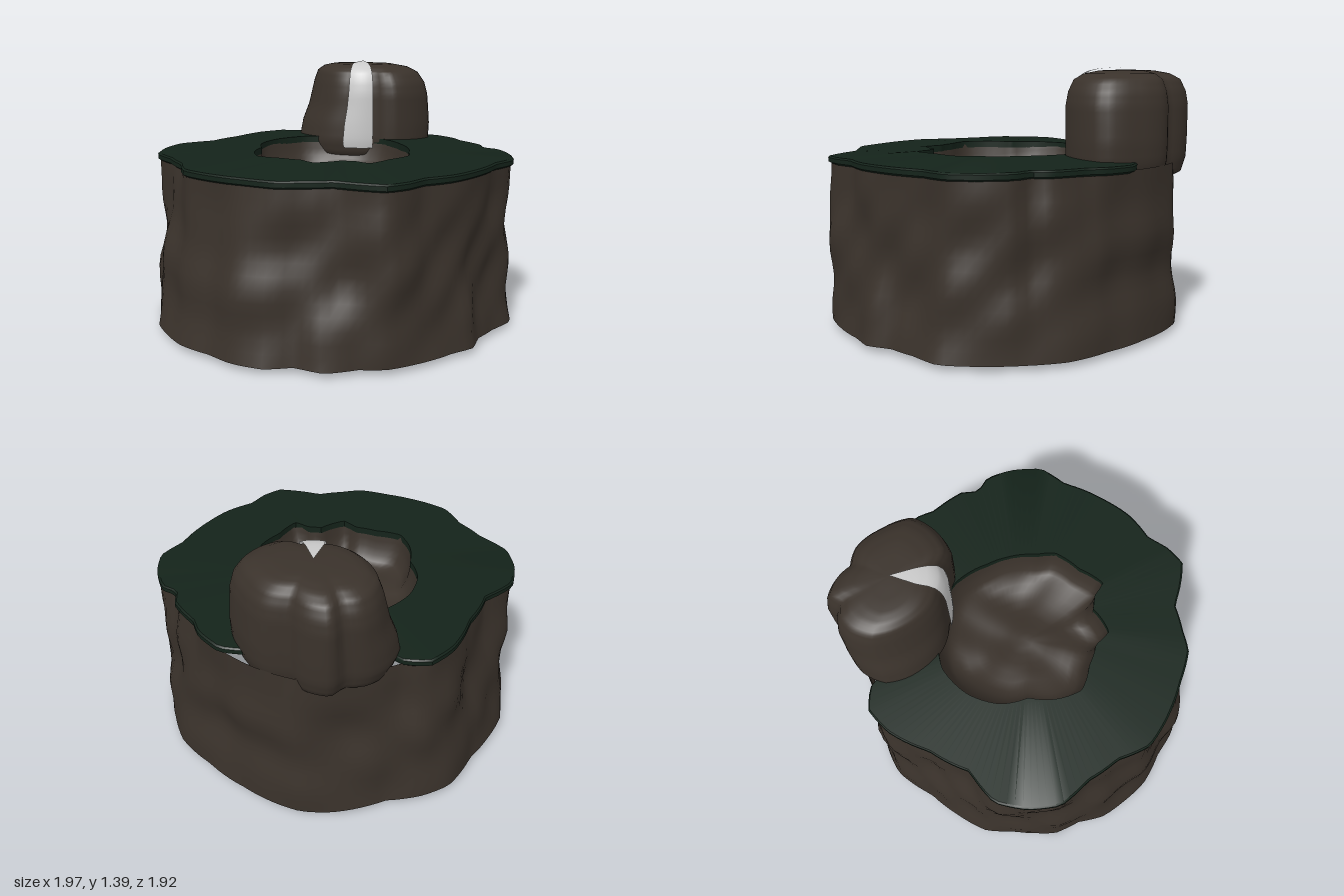
import * as THREE from 'three';
import { mergeVertices, toCreasedNormals } from 'three/addons/utils/BufferGeometryUtils.js';

const TAU = Math.PI * 2;
const mat = (color) => new THREE.MeshStandardMaterial({ color, roughness: 1, side: THREE.DoubleSide });

// Radius as a function of angle, from outline points [x, z] around a centre
function outline(pts, cx = 0, cz = 0) {
  const p = pts.map(([x, z]) => [(Math.atan2(z - cz, x - cx) + TAU) % TAU, Math.hypot(x - cx, z - cz)])
    .sort((a, b) => a[0] - b[0]);
  const n = p.length;
  const ring = [[p[n - 1][0] - TAU, p[n - 1][1]], ...p, [p[0][0] + TAU, p[0][1]]];
  return (angle) => {
    const a = ((angle % TAU) + TAU) % TAU;
    let i = 0;
    while (i < n && ring[i + 1][0] < a) i++;
    const [a0, r0] = ring[i], [a1, r1] = ring[i + 1];
    return r0 + (r1 - r0) * (a - a0) / (a1 - a0 || 1);
  };
}

// Surface grid from point(angle, v); v runs 0..1, upward for outward faces
function surface(point, nu, nv, a0 = 0, a1 = TAU) {
  const pos = [], idx = [];
  for (let j = 0; j <= nv; j++) for (let i = 0; i <= nu; i++) {
    const closedEnd = a1 - a0 === TAU && i === nu;
    pos.push(...point(closedEnd ? a0 : a0 + (a1 - a0) * i / nu, j / nv));
  }
  for (let j = 0; j < nv; j++) for (let i = 0; i < nu; i++) {
    const a = j * (nu + 1) + i, b = a + 1, c = a + nu + 1, d = c + 1;
    idx.push(a, c, b, b, c, d);
  }
  let g = new THREE.BufferGeometry();
  g.setAttribute('position', new THREE.Float32BufferAttribute(pos, 3));
  g.setIndex(idx);
  g = mergeVertices(g, 1e-4);
  g.computeVertexNormals();
  return g;
}

// Linear lookup through rows of numbers, v in 0..1
function rowAt(rows, v) {
  const t = v * (rows.length - 1), i = Math.min(Math.floor(t), rows.length - 2);
  return rows[i].map((x, k) => x + (rows[i + 1][k] - x) * (t - i));
}

// Gentle lumps for stone
const lumps = (x, y, z) => Math.sin(7 * x + 4 * y + 1) * Math.sin(6 * y - 5 * z) * 0.6
  + Math.sin(13 * x - 9 * y) * Math.sin(12 * z + 8 * y + 2) * 0.4;

const front = [[0.96, 0.05], [0.97, 0.2], [0.93, 0.37], [0.8, 0.47], [0.63, 0.66], [0.5, 0.76], [0.33, 0.82],
  [0.24, 0.9], [0.13, 0.95], [0.02, 0.9], [-0.1, 0.82], [-0.25, 0.81], [-0.37, 0.8], [-0.52, 0.7], [-0.65, 0.6],
  [-0.8, 0.43], [-0.82, 0.25], [-0.88, 0.07], [-0.96, -0.1], [-0.93, -0.27], [-0.85, -0.42], [-0.66, -0.5],
  [-0.5, -0.67], [-0.34, -0.85], [-0.2, -0.92], [-0.08, -0.88]];
const side = [[0.75, -0.55], [0.83, -0.4], [0.84, -0.3], [0.91, -0.12], [0.89, -0.02]];
const grassEdge = outline([...front, [0.03, -0.7], [0.3, -0.6], [0.64, -0.6], ...side]);
const wallTop = outline([...front, [0.1, -0.9], [0.3, -0.91], [0.45, -0.86], [0.62, -0.72], ...side]);
const wallBase = outline([[0.99, 0], [0.98, 0.2], [0.93, 0.42], [0.8, 0.52], [0.68, 0.63], [0.62, 0.75], [0.5, 0.8],
  [0.3, 0.9], [0.13, 0.95], [0, 0.93], [-0.17, 0.95], [-0.3, 0.86], [-0.45, 0.86], [-0.6, 0.77], [-0.7, 0.65],
  [-0.85, 0.5], [-0.92, 0.35], [-0.97, 0.2], [-0.96, 0.05], [-0.98, -0.1], [-0.9, -0.35], [-0.85, -0.5], [-0.7, -0.65],
  [-0.55, -0.76], [-0.36, -0.92], [-0.2, -0.95], [0, -0.93], [0.3, -0.93], [0.45, -0.88], [0.7, -0.64],
  [0.85, -0.42], [0.97, -0.2]]);
const holeEdge = outline([[0.36, -0.3], [0.42, -0.1], [0.43, 0.02], [0.4, 0.18], [0.38, 0.28], [0.25, 0.38],
  [0.2, 0.43], [0.13, 0.48], [0.07, 0.41], [0, 0.38], [-0.15, 0.42], [-0.2, 0.33], [-0.3, 0.26], [-0.42, 0.18],
  [-0.43, 0.05], [-0.38, -0.1], [-0.37, -0.25], [-0.27, -0.4], [-0.1, -0.49], [0.1, -0.46]]);

// Boulder plan outline around its own centre
const BX = 0.29, BZ = -0.62;
const boulderEdge = outline([[-0.09, -0.8], [0, -0.9], [0.1, -0.94], [0.22, -0.92], [0.3, -0.97], [0.4, -0.91],
  [0.46, -0.81], [0.58, -0.75], [0.65, -0.6], [0.67, -0.42], [0.55, -0.32], [0.4, -0.28], [0.31, -0.35],
  [0.13, -0.39], [0.02, -0.45], [-0.07, -0.58], [-0.1, -0.7]], BX, BZ);
// y, scale, extra shrink of the +x and -x sides
const boulderRows = [[0.8, 0.7, 1, 1], [0.84, 0.92, 1, 1], [0.92, 0.99, 1, 1], [1.02, 1, 1, 0.94], [1.12, 1, 0.98, 0.84],
  [1.2, 1, 0.96, 0.79], [1.27, 0.96, 0.95, 0.78], [1.33, 0.87, 0.93, 0.8], [1.36, 0.7, 0.95, 0.85], [1.375, 0.45, 1, 1], [1.38, 0, 1, 1]];
function boulderPoint(a, v, grow = 0) {
  const [y, s, right, left] = rowAt(boulderRows, v);
  const r = boulderEdge(a) * s + (s > 0 ? grow : 0);
  const x = Math.cos(a) * r * (Math.cos(a) > 0 ? right : left);
  return [BX + x, y + grow * v, BZ + Math.sin(a) * r];
}

export function createModel() {
  const group = new THREE.Group();
  const rock = mat(0x3a322b), grass = mat(0x14231a), water = mat(0xdddddd);
  const add = (name, geometry, material) => {
    const mesh = new THREE.Mesh(geometry, material);
    mesh.name = name;
    group.add(mesh);
  };

  // Hollow rock wall, open underneath
  add('rockWall', surface((a, v) => {
    const r0 = wallBase(a) * (1 - v) + wallTop(a) * 0.985 * v;
    const dip = v === 0 ? 0.03 * Math.exp(-(((a - Math.PI - 0.11) / 0.06) ** 2)) : 0;
    const y = 0.03 + 0.87 * v - dip;
    const r = r0 + 0.045 * Math.sin(Math.PI * v) * (lumps(Math.cos(a), y, Math.sin(a)) - 0.3);
    return [Math.cos(a) * r, y, Math.sin(a) * r];
  }, 128, 14), rock);

  // Thin grass ring with a ragged hole: share of hole-to-edge width, height
  const ringRows = [[0, 0.905], [0.97, 0.885], [1, 0.895], [1, 0.918], [0.98, 0.926], [0, 0.942], [0, 0.905]];
  add('grassRing', toCreasedNormals(surface((a, v) => {
    const [t, y] = rowAt(ringRows, v);
    const r = holeEdge(a) * (1 - t) + grassEdge(a) * t;
    return [Math.cos(a) * r, y, Math.sin(a) * r];
  }, 144, 6), 0.6), grass);

  // Lumpy hollow inside the ring
  const bowlRows = [[1.01, 0.925], [0.97, 0.84], [0.88, 0.77], [0.7, 0.74], [0.45, 0.73], [0.2, 0.72], [0, 0.72]];
  add('hollow', surface((a, v) => {
    const [s, y] = rowAt(bowlRows, v);
    const r = holeEdge(a) * s, x = Math.cos(a) * r, z = Math.sin(a) * r;
    return [x, y + (v > 0 ? 0.03 * lumps(x * 1.4, 0.3, z * 1.4) : 0), z];
  }, 72, 12).scale(1, 1, 1), rock);

  // Boulder at the back
  add('boulder', surface((a, v) => boulderPoint(a, v), 72, 30), rock);

  // Waterfall hugging the boulder front, narrowing to a point on top
  const a0 = Math.atan2(-0.35 - BZ, 0.3 - BX), a1 = Math.atan2(-0.39 - BZ, 0.13 - BX);
  add('waterfall', surface((a, v) => boulderPoint(a, 0.15 + 0.85 * v, 0.012), 6, 24, a0, a1), water);

  return group;
}
